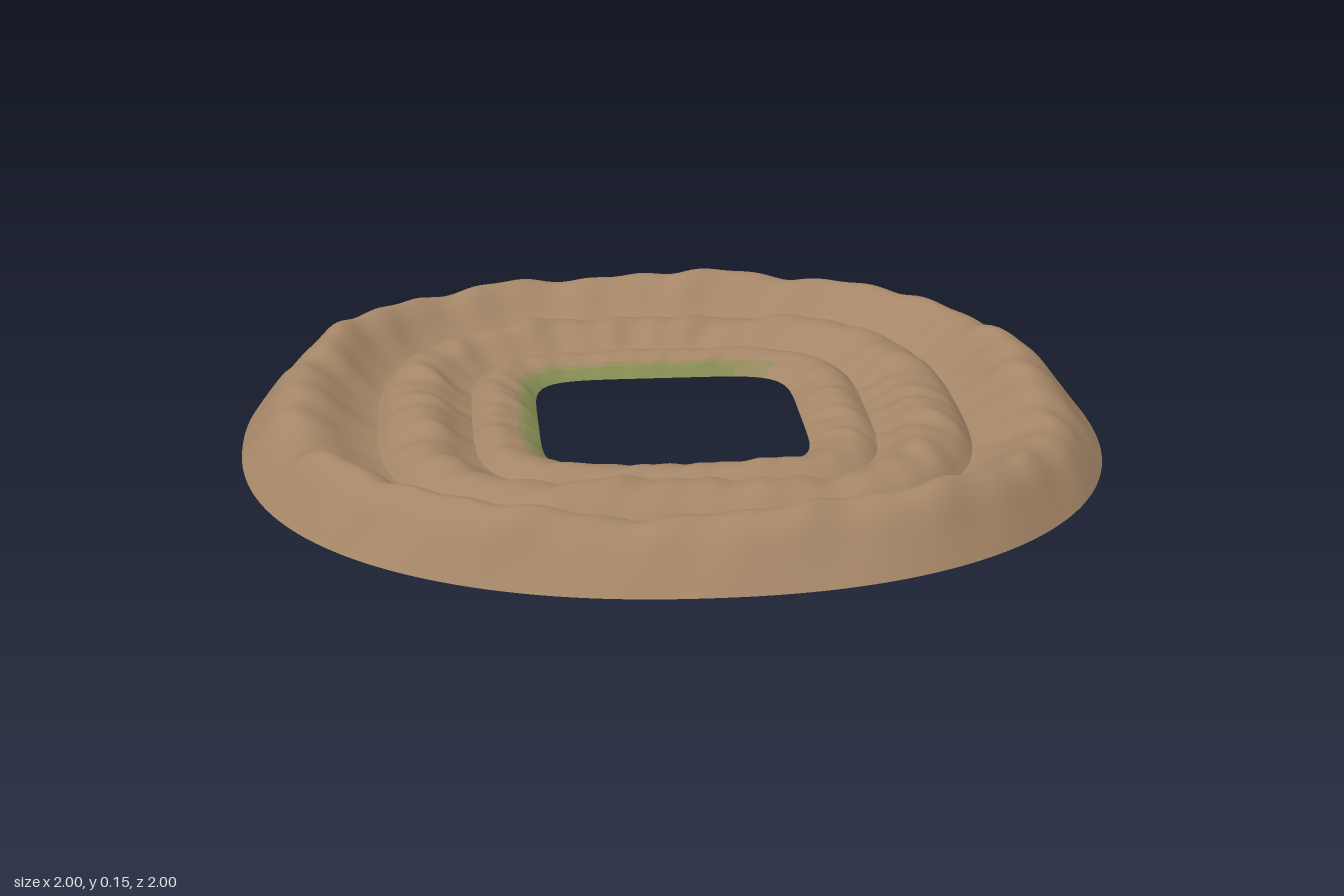
import * as THREE from 'three';

const SEG = 288;
const TAU = Math.PI * 2;

// Rounded-square radius: nearly circular far out, squarer towards the hole.
function radius(size, a) {
  const n = 2.2 * Math.pow(size, -0.8);
  return size / Math.pow(Math.pow(Math.abs(Math.cos(a)), n) + Math.pow(Math.abs(Math.sin(a)), n), 1 / n);
}

// Repeating bumps around the ring, roughly -1..1.
function bumps(a, k) {
  return 0.4 * Math.sin(5 * a + k) + 0.3 * Math.sin(11 * a + 2.3 * k) +
    0.25 * Math.sin(19 * a + 4.1 * k) + 0.2 * Math.sin(37 * a + 1.7 * k);
}

// Broad swells and dips of the outer crest.
function swell(a) {
  const dip = (c, w) => {
    const d = Math.atan2(Math.sin(a - c), Math.cos(a - c));
    return Math.exp(-d * d / (w * w));
  };
  return 0.12 * (dip(1.05, 0.25) + dip(2.1, 0.25)) - 0.22 * (dip(0.29, 0.16) + dip(Math.PI - 0.29, 0.16));
}

// Sweeps a [size, height] profile round the ring, from outside to inside.
function ridge(name, profile, { seed, rough, wobble, steps = 20, swells = 0 }, materials, pick = () => 0) {
  const pts = new THREE.SplineCurve(profile.map(p => new THREE.Vector2(...p))).getPoints(steps);
  const m = pts.length;
  const pos = [];
  const faces = materials.map(() => []);
  for (let i = 0; i < SEG; i++) {
    const a = i / SEG * TAU;
    pts.forEach((p, j) => {
      const t = j / (m - 1);
      const mid = Math.sin(Math.PI * t); // the two rims stay even
      const size = p.x + wobble * mid * bumps(a, seed + 3 + t);
      const r = radius(size, a);
      const y = p.y * (1 + mid * (rough * bumps(a, seed + t * 1.6) + swells * swell(a)));
      pos.push(r * Math.cos(a), Math.max(0, y), r * Math.sin(a));
    });
    for (let j = 0; j < m - 1; j++) {
      const p = i * m + j, q = ((i + 1) % SEG) * m + j;
      faces[pick(a, pts[j].x)].push(p, p + 1, q, q, p + 1, q + 1);
    }
  }
  const geo = new THREE.BufferGeometry();
  geo.setAttribute('position', new THREE.Float32BufferAttribute(pos, 3));
  geo.setIndex(faces.flat());
  let start = 0;
  faces.forEach((f, k) => {
    geo.addGroup(start, f.length, k);
    start += f.length;
  });
  geo.computeVertexNormals();
  const mesh = new THREE.Mesh(geo, materials);
  mesh.name = name;
  return mesh;
}

export function createModel() {
  const mat = (name, color) => {
    const material = new THREE.MeshStandardMaterial({ color, side: THREE.DoubleSide });
    material.name = name;
    return material;
  };
  const earth = mat('earth', 0xa58667);
  const moss = mat('moss', 0x838a52);
  const paleMoss = mat('mossy earth', 0x94885d);

  const group = new THREE.Group();
  group.name = 'earthRings';

  // Tall outer bank
  group.add(ridge('outerBank',
    [[1, 0], [0.955, 0.055], [0.91, 0.104], [0.86, 0.127], [0.81, 0.112], [0.75, 0.068], [0.7, 0.04], [0.65, 0.028]],
    { seed: 1.3, rough: 0.13, wobble: 0.012, steps: 28, swells: 1 }, [earth]));

  // Middle bank, its rim lapping over the outer one
  group.add(ridge('middleBank',
    [[0.685, 0.042], [0.65, 0.075], [0.6, 0.094], [0.55, 0.09], [0.5, 0.058], [0.46, 0.038], [0.43, 0.03]],
    { seed: 4.7, rough: 0.16, wobble: 0.01, steps: 24 }, [earth]));

  // Low inner lip with moss round the hole, bare on the left side
  group.add(ridge('innerLip',
    [[0.465, 0.042], [0.435, 0.063], [0.4, 0.07], [0.36, 0.058], [0.33, 0.044], [0.31, 0.03]],
    { seed: 8.2, rough: 0.1, wobble: 0.005 }, [earth, moss, paleMoss],
    (a, size) => {
      const turn = Math.min(a, TAU - a);
      if (size > 0.362 || turn < 0.86) return 0;
      return size > 0.35 || turn < 1.05 ? 2 : 1;
    }));

  return group;
}
